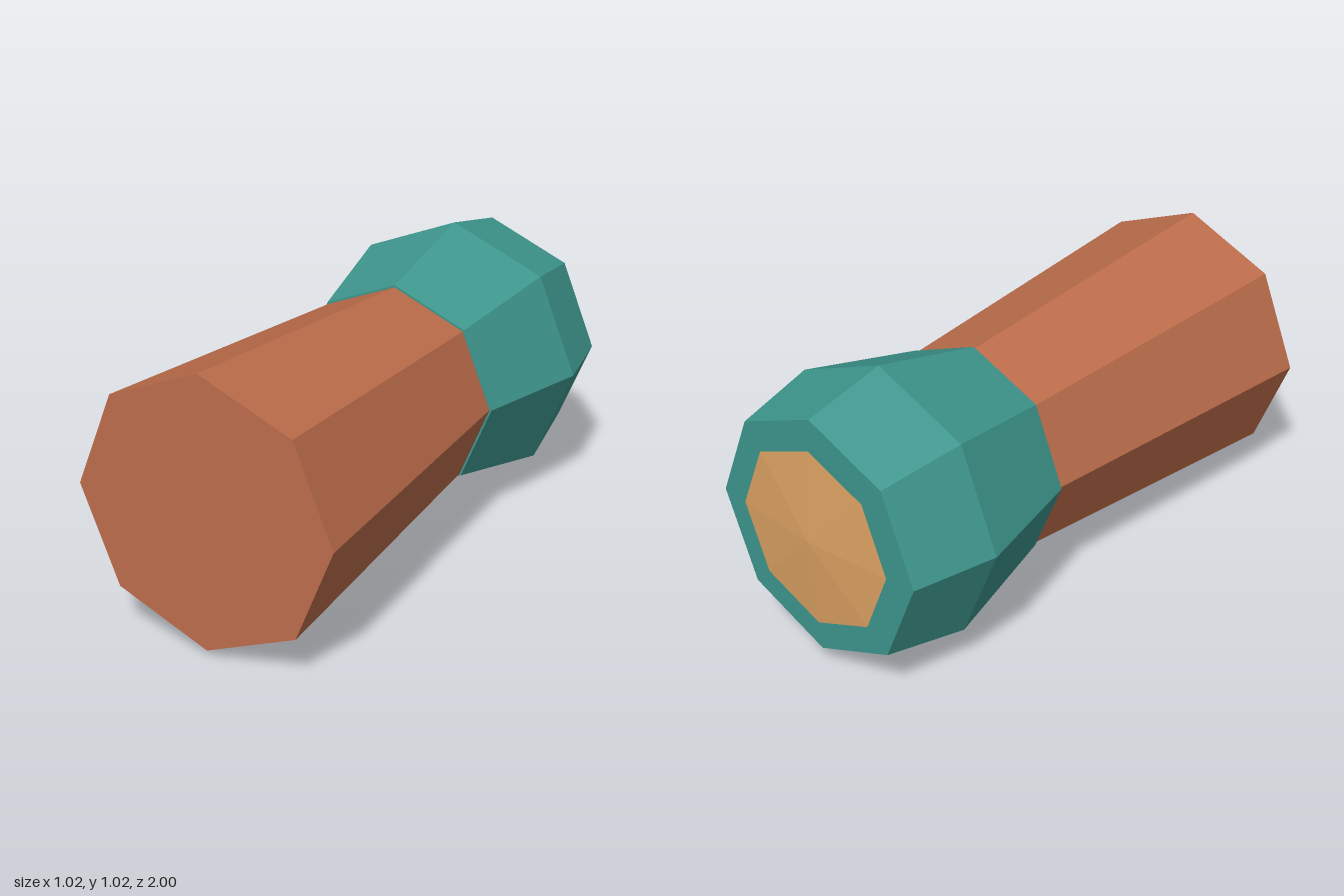
import * as THREE from 'three';

const SIDES = 8;
const AXIS_Y = 0.512; // height of the torch's long axis

function material(name, color) {
  const m = new THREE.MeshStandardMaterial({ color, flatShading: true });
  m.name = name;
  return m;
}

// Octagonal frustum lying along z, from zFront to zBack
function section(name, mat, zFront, rFront, zBack, rBack, open = false) {
  const geo = new THREE.CylinderGeometry(rFront, rBack, zFront - zBack, SIDES, 1, open);
  geo.rotateX(Math.PI / 2);
  const mesh = new THREE.Mesh(geo, mat);
  mesh.name = name;
  mesh.position.set(0, AXIS_Y, (zFront + zBack) / 2);
  return mesh;
}

export function createModel() {
  const terracotta = material('terracotta', 0xbd6d4b);
  const teal = material('teal', 0x3e978e);
  const amber = material('amber', 0xdca262);

  const model = new THREE.Group();
  model.name = 'torch';

  // Tapered handle
  model.add(section('handle', terracotta, 1, 0.486, -0.21, 0.391));

  // Flared head: widens, then narrows towards the lens
  const head = new THREE.Group();
  head.name = 'head';
  head.add(section('headFlare', teal, -0.21, 0.399, -0.655, 0.51));
  head.add(section('headRim', teal, -0.655, 0.51, -0.965, 0.444));
  model.add(head);

  // Shallow pointed lens just clear of the rim
  model.add(section('lens', amber, -0.975, 0.333, -1, 0));

  return model;
}
